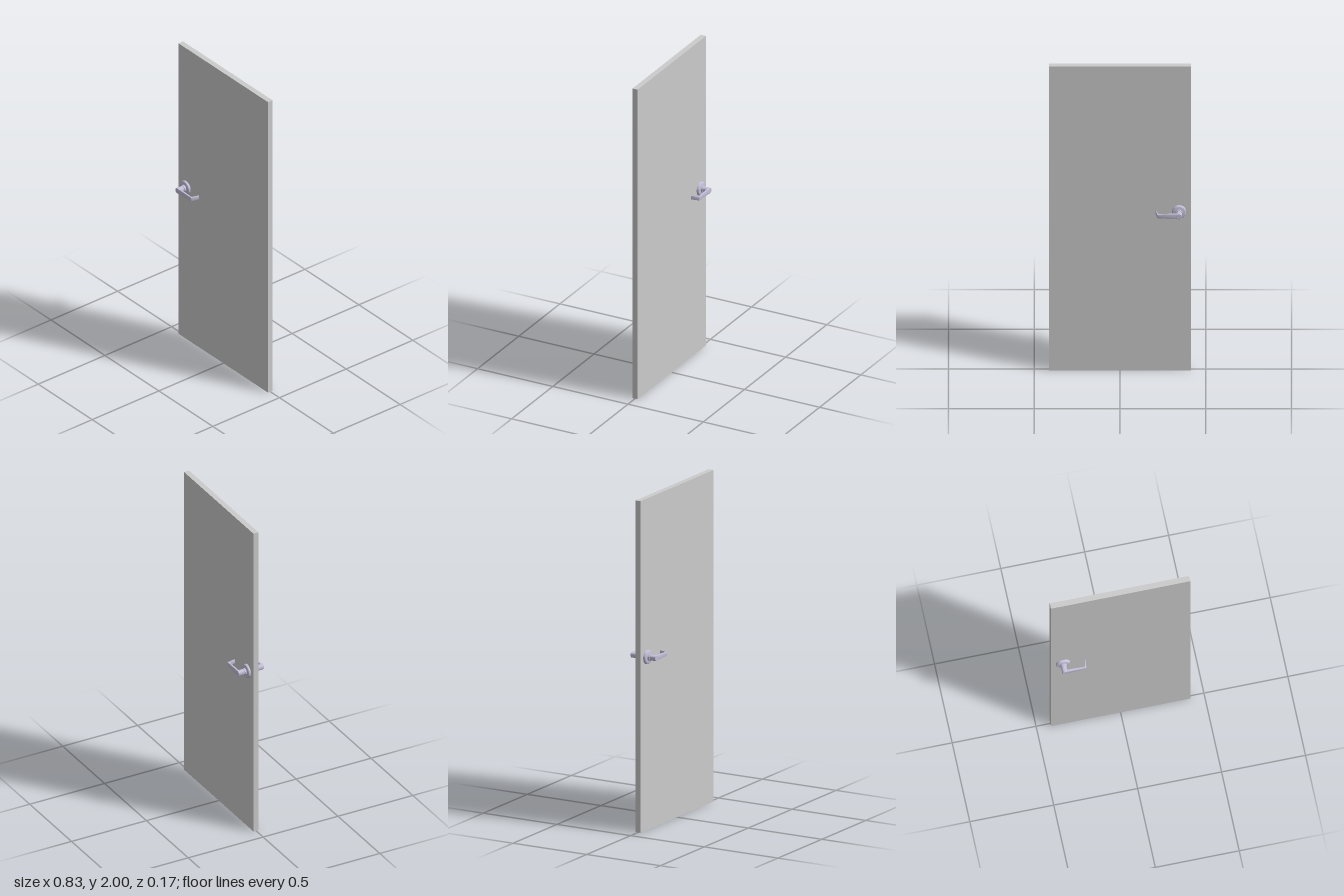
import * as THREE from 'three';
import { toCreasedNormals } from 'three/addons/utils/BufferGeometryUtils.js';

const DOOR = { width: 0.83, height: 2, depth: 0.034 };
const HANDLE = { x: -0.344, y: 1.045 };

const doorMaterial = new THREE.MeshStandardMaterial({ color: 0xcccccc });
const metalMaterial = new THREE.MeshStandardMaterial({ color: 0xc4c0d8 });

function part(name, geometry, material) {
  const mesh = new THREE.Mesh(geometry, material);
  mesh.name = name;
  return mesh;
}

// Turned part around the z axis from [radius, z] pairs
function turned(points) {
  const profile = points.map(([r, z]) => new THREE.Vector2(r, z));
  const geometry = new THREE.LatheGeometry(profile, 48).rotateX(Math.PI / 2);
  return toCreasedNormals(geometry, 0.6);
}

// Flat arm with a return bent towards the door, tapering in height to the tip
function leverGeometry() {
  const shape = new THREE.Shape();
  shape.moveTo(0, 0.073);
  shape.lineTo(0, 0.0835);
  shape.lineTo(0.035, 0.0825);
  shape.lineTo(0.121, 0.0805);
  shape.quadraticCurveTo(0.125, 0.0805, 0.126, 0.077);
  shape.lineTo(0.135, 0.031);
  shape.lineTo(0.131, 0.030);
  shape.lineTo(0.121, 0.069);
  shape.quadraticCurveTo(0.120, 0.073, 0.116, 0.073);
  shape.lineTo(0.035, 0.072);
  shape.closePath();
  const depth = 0.028;
  const geometry = new THREE.ExtrudeGeometry(shape, {
    depth, curveSegments: 5,
    bevelEnabled: true, bevelSize: 0.0008, bevelThickness: 0.0015, bevelSegments: 2,
  });
  geometry.translate(0, 0, -depth / 2).rotateX(Math.PI / 2);
  const p = geometry.attributes.position;
  for (let i = 0; i < p.count; i++) {
    p.setY(i, p.getY(i) * (1.05 - 2.2 * Math.max(0, p.getX(i))));
  }
  return toCreasedNormals(geometry, 0.6);
}

// One handle set facing +z, centred on its spindle
function createHandle(name) {
  const handle = new THREE.Group();
  handle.name = name;
  const rose = turned([
    [0, 0.012], [0.042, 0.012], [0.042, 0.026], [0.0412, 0.029],
    [0.0385, 0.0315], [0.035, 0.0325], [0, 0.0325],
  ]);
  const collar = turned([
    [0, 0.03], [0.0205, 0.03], [0.0205, 0.0425], [0.0195, 0.0435], [0, 0.0435],
  ]);
  const neck = turned([
    [0, 0.04], [0.0167, 0.04], [0.0167, 0.0835], [0.0158, 0.0845], [0, 0.0845],
  ]);
  handle.add(
    part('rose', rose, metalMaterial),
    part('collar', collar, metalMaterial),
    part('neck', neck, metalMaterial),
    part('lever', leverGeometry(), metalMaterial),
  );
  handle.position.set(HANDLE.x, HANDLE.y, 0);
  return handle;
}

export function createModel() {
  const model = new THREE.Group();
  model.name = 'door';

  const slab = part('doorSlab', new THREE.BoxGeometry(DOOR.width, DOOR.height, DOOR.depth), doorMaterial);
  slab.position.y = DOOR.height / 2;

  // The handle is symmetric in height, so a half turn gives the opposite side
  const back = createHandle('backHandle');
  back.rotation.x = Math.PI;

  model.add(slab, createHandle('frontHandle'), back);
  return model;
}
